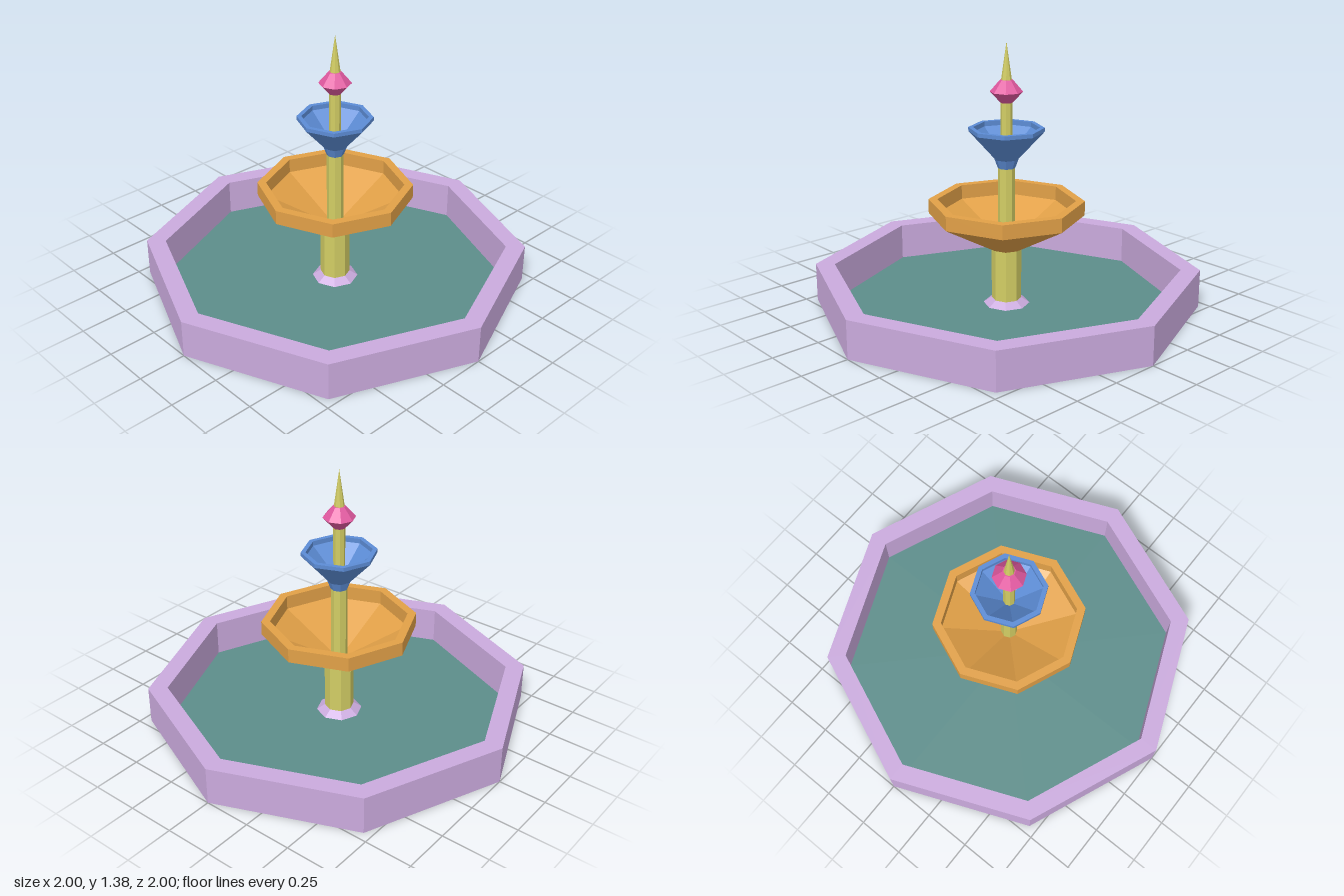
import * as THREE from 'three';

const SIDES = 8;

function material(name, color) {
  const m = new THREE.MeshStandardMaterial({ color, flatShading: true, side: THREE.DoubleSide });
  m.name = name;
  return m;
}

export function createModel() {
  const group = new THREE.Group();
  const lilac = material('lilac stone', 0xcaaadd);
  const teal = material('teal water', 0x5c8d8a);
  const orange = material('orange bowl', 0xe1a047);
  const blue = material('blue bowl', 0x5c8cd5);
  const yellow = material('yellow column', 0xd2cd64);
  const pink = material('pink bead', 0xe0589f);

  // Octagonal turned part from [radius, height] points, listed bottom outside to top inside
  function turned(name, mat, points) {
    const profile = points.map(([r, y]) => new THREE.Vector2(r, y));
    const geo = new THREE.LatheGeometry(profile, SIDES).toNonIndexed();
    geo.computeVertexNormals();
    const mesh = new THREE.Mesh(geo, mat);
    mesh.name = name;
    group.add(mesh);
  }

  // Pool: hollow wall open underneath, and the water sheet
  turned('poolWall', lilac, [[1, 0], [1, 0.2], [0.9, 0.2], [0.9, 0]]);
  turned('water', teal, [[0.9, 0.004], [0, 0.004]]);

  // Sloped foot and stepped column
  turned('columnFoot', lilac, [[0.12, 0.005], [0.075, 0.035]]);
  turned('lowerColumn', yellow, [[0.077, 0.01], [0.077, 0.32]]);
  turned('middleColumn', yellow, [[0.043, 0.32], [0.043, 0.75]]);
  turned('upperColumn', yellow, [[0.03, 0.75], [0.03, 1.08]]);

  // Large and small bowls
  turned('largeBowl', orange, [
    [0.04, 0.308], [0.08, 0.308], [0.4, 0.49], [0.4, 0.565],
    [0.355, 0.565], [0.355, 0.49], [0.04, 0.335],
  ]);
  turned('smallBowl', blue, [
    [0.03, 0.738], [0.045, 0.738], [0.062, 0.785], [0.192, 0.927], [0.192, 0.947],
    [0.168, 0.947], [0.168, 0.922], [0.03, 0.8],
  ]);

  // Bead and pointed spire
  turned('bead', pink, [[0.0, 1.075], [0.032, 1.075], [0.083, 1.13], [0.032, 1.19], [0, 1.19]]);
  turned('spire', yellow, [[0.027, 1.188], [0, 1.38]]);

  return group;
}
